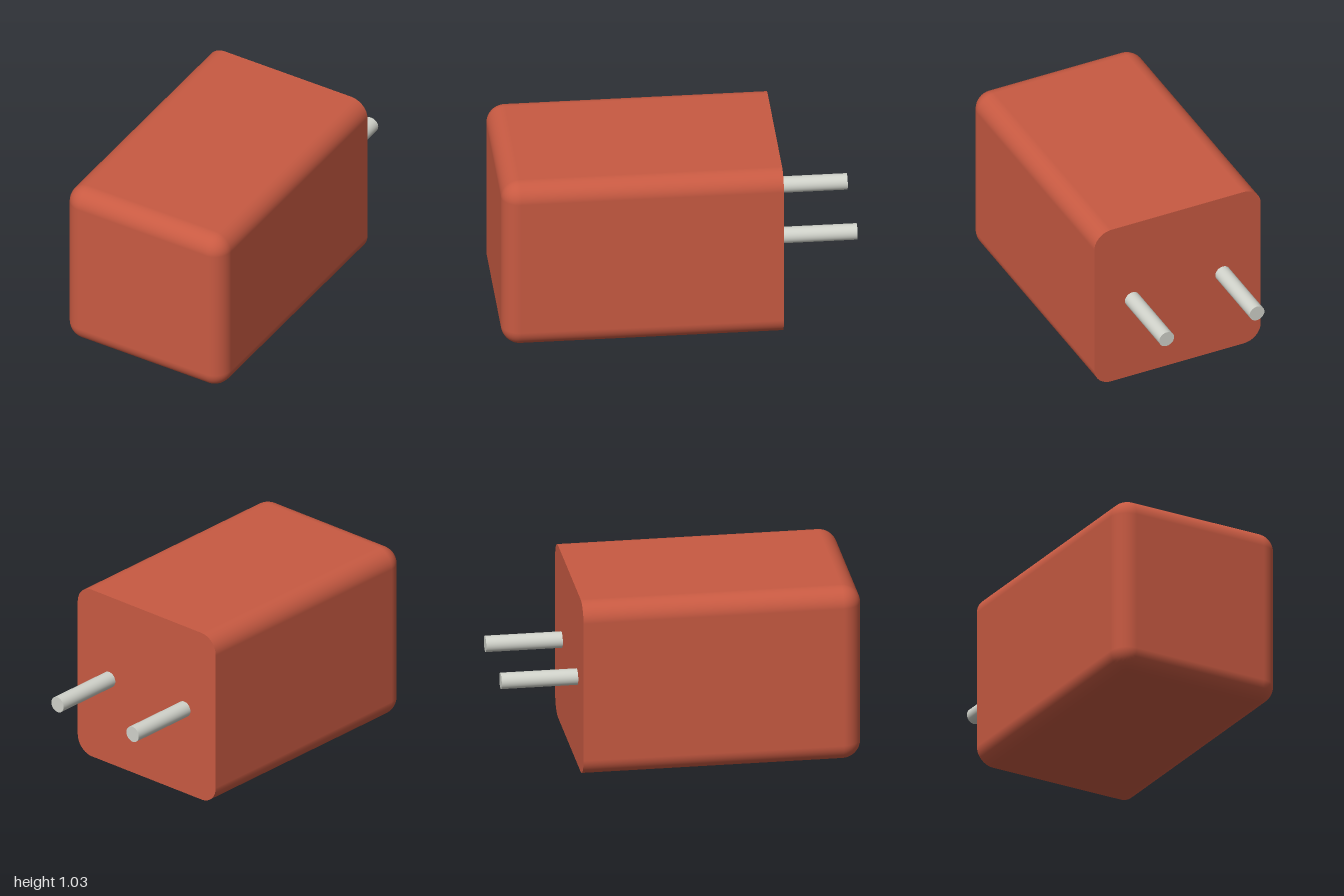
import * as THREE from 'three';

const HALF = 0.515, RADIUS = 0.105, BACK = -0.57, FRONT = 1;
const ARC = 10; // segments per rounded quarter

// Rounded-square block: flat back, softly rounded front edges
function blockGeometry() {
  const pos = [], nor = [], idx = [];
  const count = 4 * (ARC + 1);
  const c = HALF - RADIUS;

  // One rounded-square ring; tilt runs from 0 (side wall) to PI/2 (front face)
  const addRing = (tilt, z, flatNormal) => {
    const start = pos.length / 3;
    for (let corner = 0; corner < 4; corner++) {
      const mid = (corner + 0.5) * Math.PI / 2;
      const cx = c * Math.sign(Math.cos(mid)), cy = c * Math.sign(Math.sin(mid));
      for (let k = 0; k <= ARC; k++) {
        const a = (corner + k / ARC) * Math.PI / 2;
        const nx = Math.cos(tilt) * Math.cos(a), ny = Math.cos(tilt) * Math.sin(a);
        pos.push(cx + RADIUS * nx, cy + RADIUS * ny, z);
        if (flatNormal) nor.push(0, 0, flatNormal);
        else nor.push(nx, ny, Math.sin(tilt));
      }
    }
    return start;
  };
  const bridge = (a, b) => {
    for (let j = 0; j < count; j++) {
      const n = (j + 1) % count;
      idx.push(a + j, a + n, b + j, a + n, b + n, b + j);
    }
  };
  const cap = (ring, z, dir) => {
    const centre = pos.length / 3;
    pos.push(0, 0, z);
    nor.push(0, 0, dir);
    for (let j = 0; j < count; j++) {
      const n = (j + 1) % count;
      idx.push(centre, ring + (dir > 0 ? j : n), ring + (dir > 0 ? n : j));
    }
  };

  // Straight walls, then the rounded front edge
  let last = addRing(0, BACK);
  for (let i = 0; i <= ARC; i++) {
    const tilt = i / ARC * Math.PI / 2;
    const ring = addRing(tilt, FRONT - RADIUS + RADIUS * Math.sin(tilt));
    bridge(last, ring);
    last = ring;
  }
  cap(last, FRONT, 1);
  cap(addRing(0, BACK, -1), BACK, -1);

  const g = new THREE.BufferGeometry();
  g.setAttribute('position', new THREE.Float32BufferAttribute(pos, 3));
  g.setAttribute('normal', new THREE.Float32BufferAttribute(nor, 3));
  g.setIndex(idx);
  return g;
}

export function createModel() {
  const model = new THREE.Group();
  model.name = 'plugAdapter';

  // Housing
  const housing = new THREE.Mesh(blockGeometry(), new THREE.MeshStandardMaterial({ color: 0xc85a42 }));
  housing.name = 'housing';
  housing.position.y = HALF;
  model.add(housing);

  // Two round contact pins at the back
  const length = BACK + 1;
  const pinGeometry = new THREE.CylinderGeometry(0.046, 0.046, length, 32).rotateX(Math.PI / 2);
  const pinMaterial = new THREE.MeshStandardMaterial({ color: 0xd0d2ca });
  for (const [name, side] of [['leftPin', 1], ['rightPin', -1]]) {
    const pin = new THREE.Mesh(pinGeometry, pinMaterial);
    pin.name = name;
    pin.position.set(side * 0.28, 0.518, BACK - length / 2);
    model.add(pin);
  }
  return model;
}
